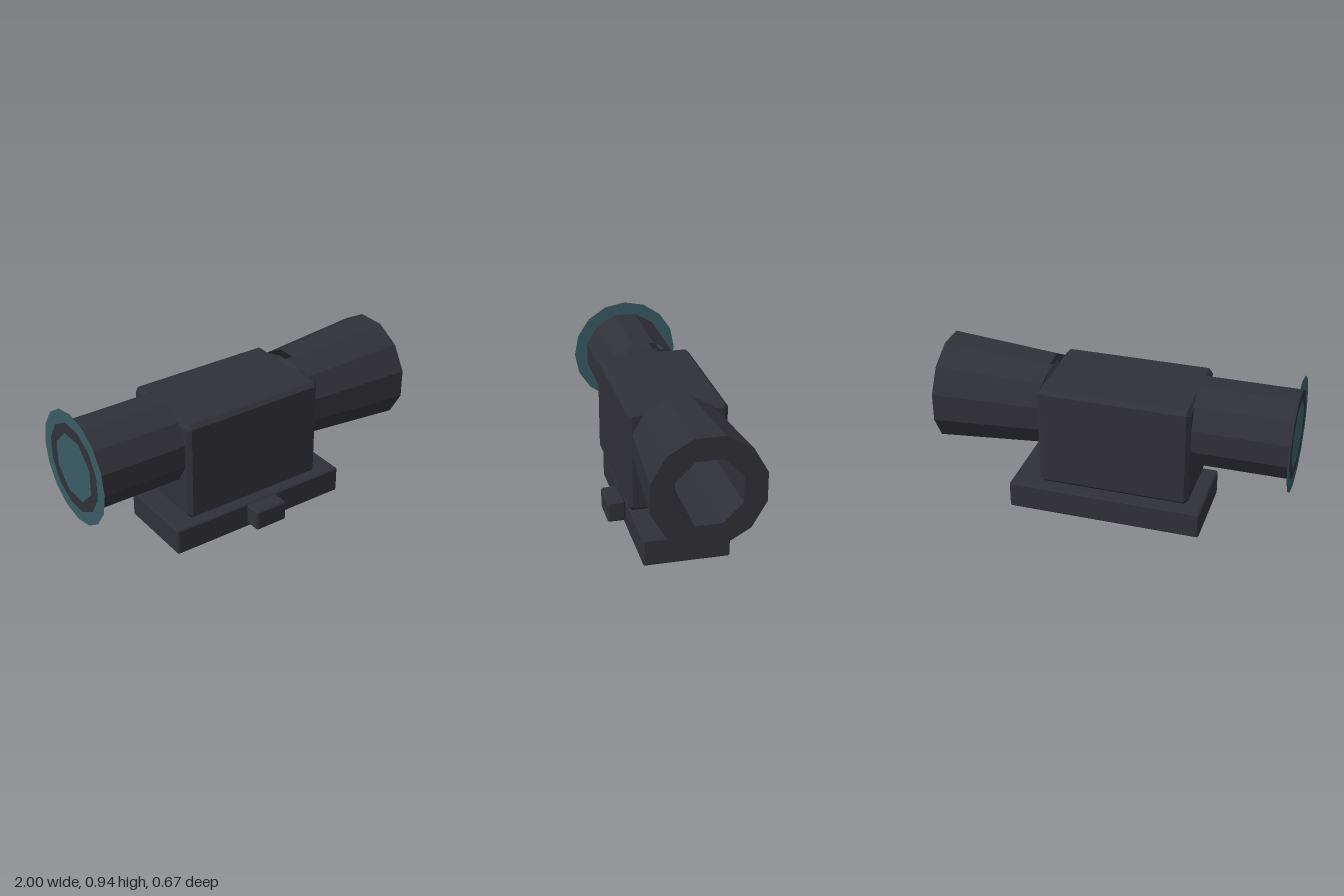
import * as THREE from 'three';

const AXIS_Y = 0.622, AXIS_Z = -0.011, BORE = 0.19;

// Regular polygon with flats facing the axes
function polygon(radius, sides, Type = THREE.Shape) {
  const pts = [];
  for (let i = 0; i < sides; i++) {
    const a = Math.PI / sides + (i * 2 * Math.PI) / sides;
    pts.push(new THREE.Vector2(Math.cos(a) * radius, Math.sin(a) * radius));
  }
  return new Type(pts);
}

// Box with every edge chamfered, extruded along x, with an optional bore
function chamferBox([x0, x1], [y0, y1], [z0, z1], c, hole) {
  const w = (z1 - z0) / 2, h = (y1 - y0) / 2;
  const shape = new THREE.Shape([
    [-w + c, -h], [w - c, -h], [w, -h + c], [w, h - c],
    [w - c, h], [-w + c, h], [-w, h - c], [-w, -h + c],
  ].map(([x, y]) => new THREE.Vector2(x, y)));
  const cy = (y0 + y1) / 2;
  if (hole) {
    const path = polygon(hole, 8, THREE.Path);
    const pts = path.getPoints().map((p) => new THREE.Vector2(p.x, p.y + AXIS_Y - cy));
    shape.holes.push(new THREE.Path(pts));
  }
  const geo = new THREE.ExtrudeGeometry(shape, {
    depth: x1 - x0 - 2 * c, bevelEnabled: true, bevelSegments: 1,
    bevelThickness: c, bevelSize: c, bevelOffset: -c,
  });
  geo.rotateY(Math.PI / 2);
  geo.translate(x0 + c, cy, (z0 + z1) / 2);
  return geo;
}

// Open tube along x between two radii
function tube(x0, x1, r0, r1, sides) {
  const geo = new THREE.CylinderGeometry(r1, r0, x1 - x0, sides, 1, true, Math.PI / sides);
  geo.rotateZ(-Math.PI / 2);
  geo.translate((x0 + x1) / 2, AXIS_Y, AXIS_Z);
  return geo;
}

// Flat end ring: twelve sides outside, octagonal bore inside
function endRing(x, radius, dir) {
  const shape = polygon(radius, 12);
  shape.holes.push(polygon(BORE, 8, THREE.Path));
  const geo = new THREE.ShapeGeometry(shape);
  geo.rotateY((dir * Math.PI) / 2);
  geo.translate(x, AXIS_Y, AXIS_Z);
  return geo;
}

export function createModel() {
  const body = new THREE.MeshStandardMaterial({ color: 0x303038, flatShading: true, side: THREE.DoubleSide });
  body.name = 'darkBody';
  const glass = new THREE.MeshStandardMaterial({ color: 0x3a5c66, flatShading: true, side: THREE.DoubleSide });
  glass.name = 'tealGlass';

  const model = new THREE.Group();
  model.name = 'scope';
  const add = (name, geo, mat = body) => {
    const mesh = new THREE.Mesh(geo, mat);
    mesh.name = name;
    model.add(mesh);
  };

  // Central housing
  add('housing', chamferBox([-0.467, 0.392], [0.227, 0.812], [-0.285, 0.264], 0.022, 0.195));

  // Straight tube on one side, flared tube on the other, one bore through both
  add('straightTube', tube(-1, -0.46, 0.25, 0.25, 12));
  add('straightTubeEnd', endRing(-1, 0.25, -1));
  add('flaredTube', tube(0.385, 1, 0.26, 0.309, 12));
  add('flaredTubeEnd', endRing(1, 0.309, 1));
  add('bore', tube(-0.998, 1, BORE, BORE, 8));

  // Flat lens disc at the end of the straight tube
  const lens = new THREE.CircleGeometry(0.321, 16);
  lens.rotateY(Math.PI / 2);
  lens.translate(-0.998, AXIS_Y, AXIS_Z);
  add('lens', lens, glass);

  // Mounting plate and its clamp knob
  add('mountPlate', chamferBox([-0.527, 0.592], [0, 0.157], [-0.25, 0.23], 0.008));
  add('clampKnob', chamferBox([-0.067, 0.135], [0.033, 0.157], [0.23, 0.333], 0.009));

  return model;
}
